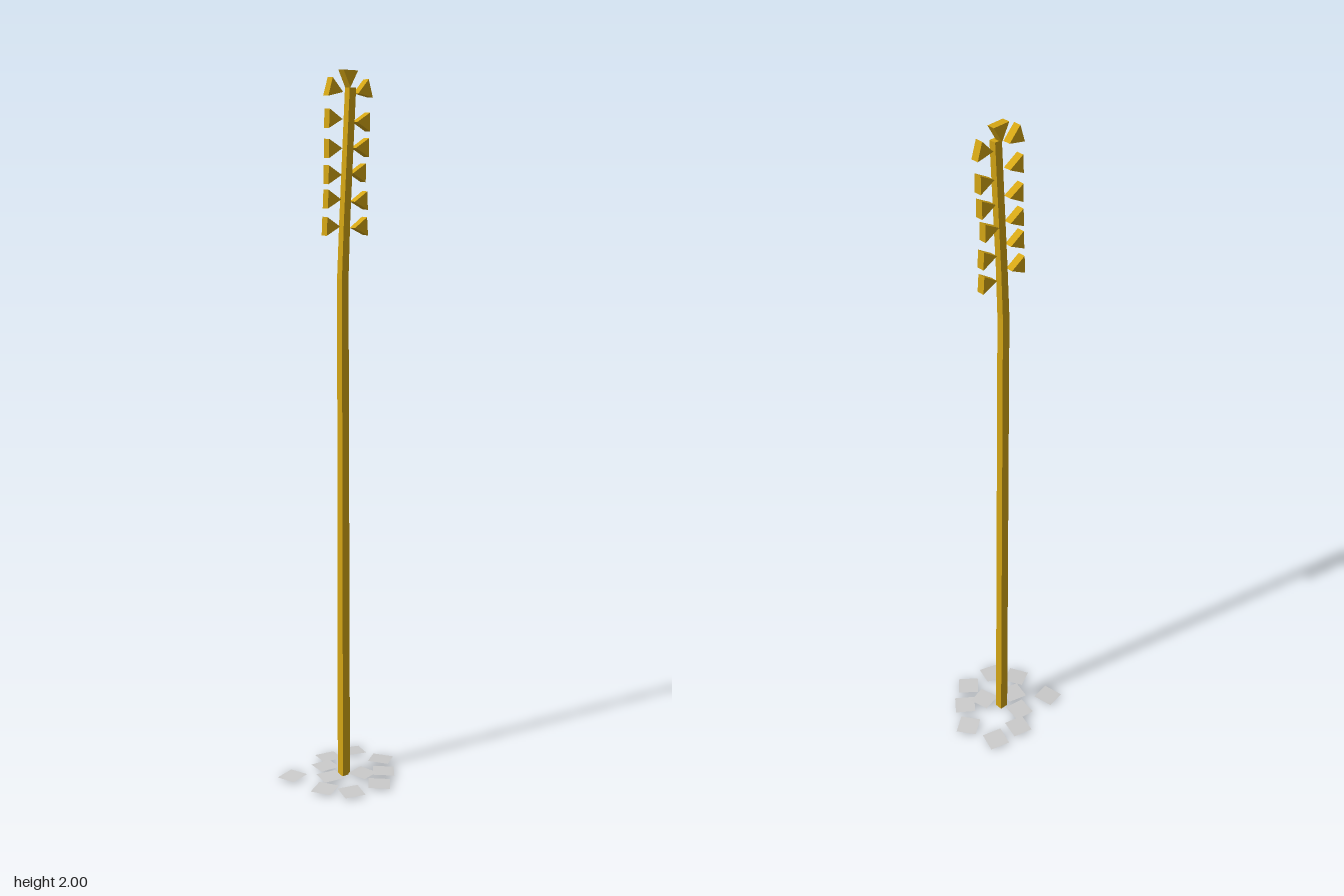
import * as THREE from 'three';

const gold = new THREE.MeshStandardMaterial({ color: 0xd4a514, flatShading: true });
const grey = new THREE.MeshStandardMaterial({ color: 0xcccccc, flatShading: true, side: THREE.DoubleSide });

// Square stalk, straight up to the ear and then leaning back
function makeStalk() {
  // [y, centre x, centre z, width]
  const rings = [
    [0, -0.014, 0.006, 0.024],
    [1.45, -0.017, 0.006, 0.021],
    [1.6, -0.0175, -0.001, 0.02],
    [1.955, -0.018, -0.022, 0.02],
  ];
  const geo = new THREE.BoxGeometry(1, 1, 1, 1, rings.length - 1, 1);
  const pos = geo.attributes.position;
  for (let i = 0; i < pos.count; i++) {
    const [y, cx, cz, w] = rings[Math.round((pos.getY(i) + 0.5) * (rings.length - 1))];
    pos.setXYZ(i, cx + pos.getX(i) * w, y, cz + pos.getZ(i) * w * 1.1);
  }
  geo.computeVertexNormals();
  const stalk = new THREE.Mesh(geo, gold);
  stalk.name = 'stalk';
  return stalk;
}

// Triangular prism with its tip at the origin, widening along +z
function makeGrainGeometry() {
  const length = 0.045, half = 0.025, depth = 0.022;
  const shape = new THREE.Shape();
  shape.moveTo(0, 0);
  shape.lineTo(length, -half);
  shape.lineTo(length, half);
  shape.closePath();
  const geo = new THREE.ExtrudeGeometry(shape, { depth, bevelEnabled: false });
  geo.translate(0, 0, -depth / 2);
  geo.rotateY(-Math.PI / 2);
  return geo;
}

function makeEar() {
  const ear = new THREE.Group();
  ear.name = 'ear';
  const geo = makeGrainGeometry();
  // [tip z, tip y, upward tilt in degrees]
  const grains = [
    [0.016, 1.59, 3], [0.012, 1.662, 3], [0.01, 1.727, 2],
    [0.008, 1.797, 0], [0.007, 1.873, 3], [0.005, 1.943, 18],
    [-0.036, 1.583, 176], [-0.036, 1.654, 178], [-0.029, 1.73, 180],
    [-0.04, 1.797, 180], [-0.044, 1.865, 180], [-0.048, 1.94, 163],
    [-0.02, 1.955, 92],
  ];
  for (const [z, y, tilt] of grains) {
    const grain = new THREE.Mesh(geo, gold);
    grain.name = 'grain';
    grain.position.set(-0.027, y, z);
    grain.rotation.x = -THREE.MathUtils.degToRad(tilt);
    ear.add(grain);
  }
  return ear;
}

// Loose square flakes lying on a very shallow mound
function makeGroundFlakes() {
  const group = new THREE.Group();
  group.name = 'groundFlakes';
  const geo = new THREE.PlaneGeometry(0.061, 0.061).rotateX(-Math.PI / 2);
  // [x, z, turn in degrees]
  const flakes = [
    [-0.111, -0.109, 17], [-0.012, -0.134, 56], [0.059, -0.084, 39], [0.114, -0.02, 41],
    [0.035, -0.024, -13], [-0.121, -0.023, 14], [-0.074, 0.027, 8], [-0.008, 0.062, 14],
    [0.103, 0.074, 18], [0.039, 0.12, -27], [-0.089, 0.138, -12],
  ];
  for (const [x, z, turn] of flakes) {
    const flake = new THREE.Mesh(geo, grey);
    flake.name = 'flake';
    flake.position.set(x, 0.014 - 0.05 * Math.hypot(x, z), z);
    // Lean outward down the mound, after turning flat
    flake.rotation.set(z * 0.4, -THREE.MathUtils.degToRad(turn), -x * 0.4, 'XZY');
    group.add(flake);
  }
  return group;
}

export function createModel() {
  const model = new THREE.Group();
  model.name = 'grainStalk';
  model.add(makeStalk(), makeEar(), makeGroundFlakes());
  return model;
}
